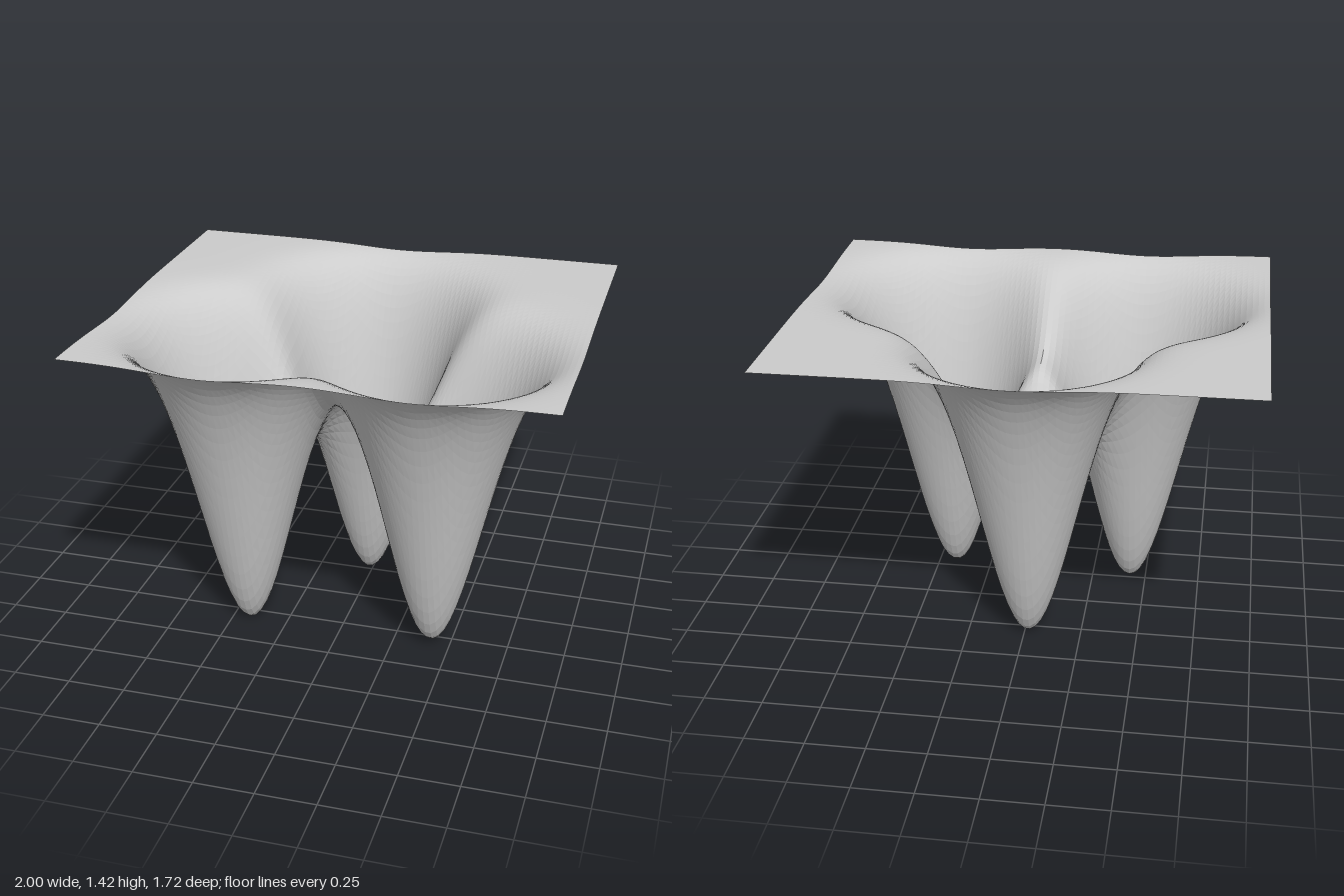
import * as THREE from 'three';

const WIDTH = 2, DEPTH = 1.72, RIM = 1.42;

// Three bell-shaped wells: centre and depth
const wells = [
  { x: -0.425, z: 0.29, depth: 1.42 },
  { x: 0.415, z: 0.29, depth: 1.40 },
  { x: -0.015, z: -0.28, depth: 1.41 },
];

// Height of the sheet: flat rim minus the sum of the wells
function heightAt(x, z) {
  let y = RIM;
  for (const w of wells) {
    const r = Math.hypot(x - w.x, z - w.z);
    y -= w.depth * Math.exp(-Math.pow(r / 0.286, 2.08));
  }
  return Math.max(y, 0);
}

export function createModel() {
  const group = new THREE.Group();
  group.name = 'threeWellSurface';

  // Flat grid lowered into the wells
  const geometry = new THREE.PlaneGeometry(WIDTH, DEPTH, 80, 68);
  geometry.rotateX(-Math.PI / 2);
  const pos = geometry.attributes.position;
  for (let i = 0; i < pos.count; i++) {
    pos.setY(i, heightAt(pos.getX(i), pos.getZ(i)));
  }
  geometry.computeVertexNormals();

  const sheet = new THREE.Mesh(
    geometry,
    new THREE.MeshStandardMaterial({ color: 0xcccccc, flatShading: true, side: THREE.DoubleSide })
  );
  sheet.name = 'sheetWithWells';
  group.add(sheet);
  return group;
}
